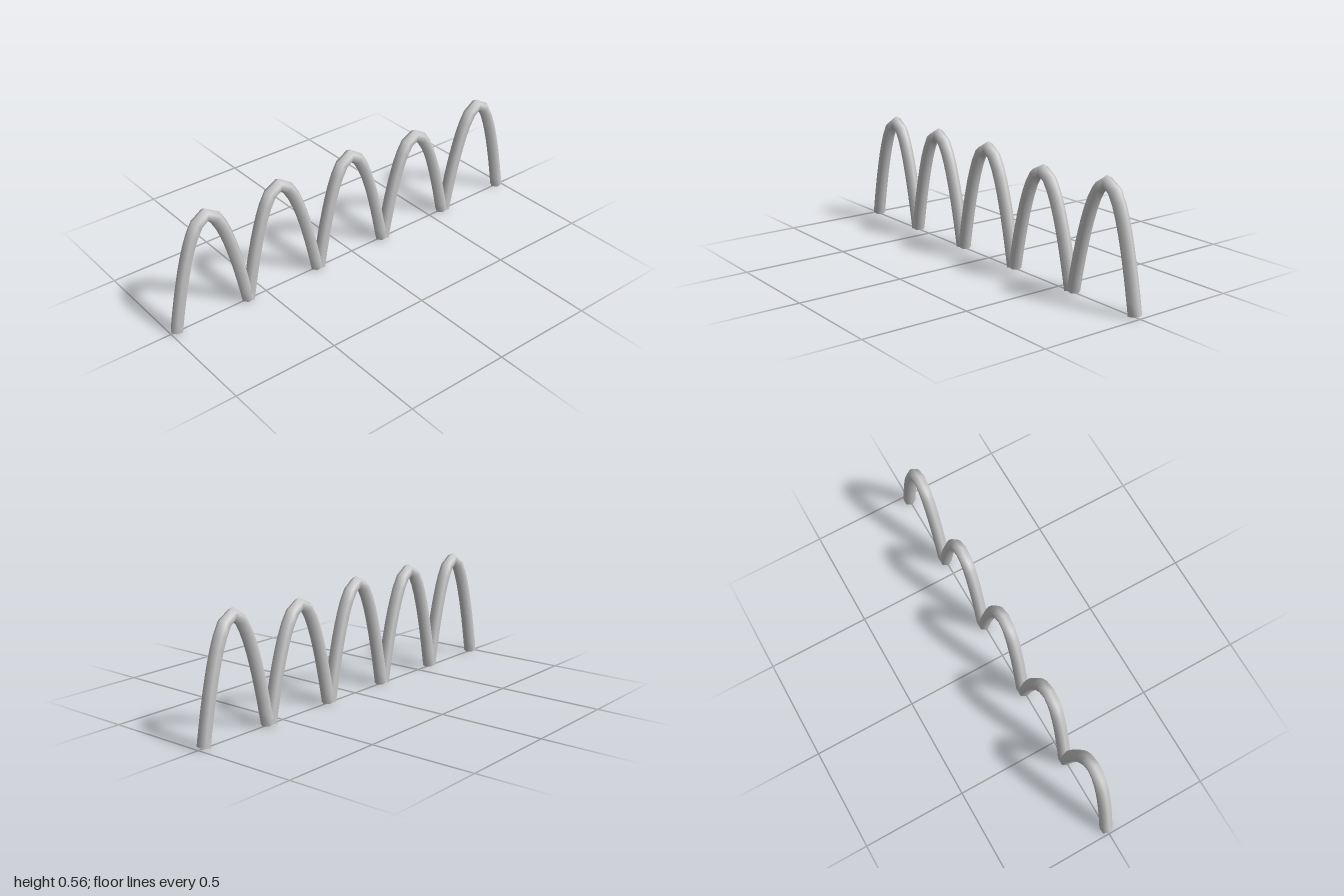
import * as THREE from 'three';

const RADIUS = 0.03, SIDES = 6, STEPS = 20, BASE = 0.006;

// Parabolic arch; each half spans from its foot to the peak
class ArchCurve extends THREE.Curve {
  constructor(left, peak, right, height) {
    super();
    Object.assign(this, { left, peak, right, height });
  }
  getPoint(t, target = new THREE.Vector3()) {
    const u = 2 * t - 1;
    const half = u < 0 ? this.peak - this.left : this.right - this.peak;
    return target.set(this.peak + u * half, BASE + (this.height - BASE) * (1 - u * u), 0);
  }
}

// Hexagonal tube with a ridge along its crest and closed ends
function archGeometry(curve) {
  const positions = [], index = [];
  const addRing = (s) => {
    const p = curve.getPointAt(s), t = curve.getTangentAt(s);
    const start = positions.length / 3;
    for (let j = 0; j < SIDES; j++) {
      const a = (j / SIDES) * Math.PI * 2, c = RADIUS * Math.cos(a);
      positions.push(p.x - t.y * c, p.y + t.x * c, RADIUS * Math.sin(a));
    }
    return start;
  };

  // tube wall
  for (let i = 0; i <= STEPS; i++) addRing(i / STEPS);
  for (let i = 0; i < STEPS; i++) {
    for (let j = 0; j < SIDES; j++) {
      const k = (j + 1) % SIDES;
      const a = i * SIDES + j, b = i * SIDES + k;
      index.push(a, b, a + SIDES, b, b + SIDES, a + SIDES);
    }
  }

  // end caps on their own vertices, so the rims stay sharp
  const first = addRing(0), last = addRing(1);
  for (let j = 1; j < SIDES - 1; j++) {
    index.push(first, first + j + 1, first + j);
    index.push(last, last + j, last + j + 1);
  }

  const geometry = new THREE.BufferGeometry();
  geometry.setAttribute('position', new THREE.Float32BufferAttribute(positions, 3));
  geometry.setIndex(index);
  geometry.computeVertexNormals();
  return geometry;
}

export function createModel() {
  const group = new THREE.Group();
  group.name = 'archRow';
  const material = new THREE.MeshStandardMaterial({ color: 0xcccccc });

  // left foot x, peak x, right foot x, peak height
  const arches = [
    [-0.97, -0.782, -0.598, 0.527],
    [-0.594, -0.411, -0.21, 0.527],
    [-0.196, -0.014, 0.184, 0.53],
    [0.195, 0.378, 0.58, 0.497],
    [0.596, 0.79, 0.97, 0.527],
  ];
  arches.forEach((dims, i) => {
    const arch = new THREE.Mesh(archGeometry(new ArchCurve(...dims)), material);
    arch.name = `arch${i + 1}`;
    group.add(arch);
  });
  return group;
}
